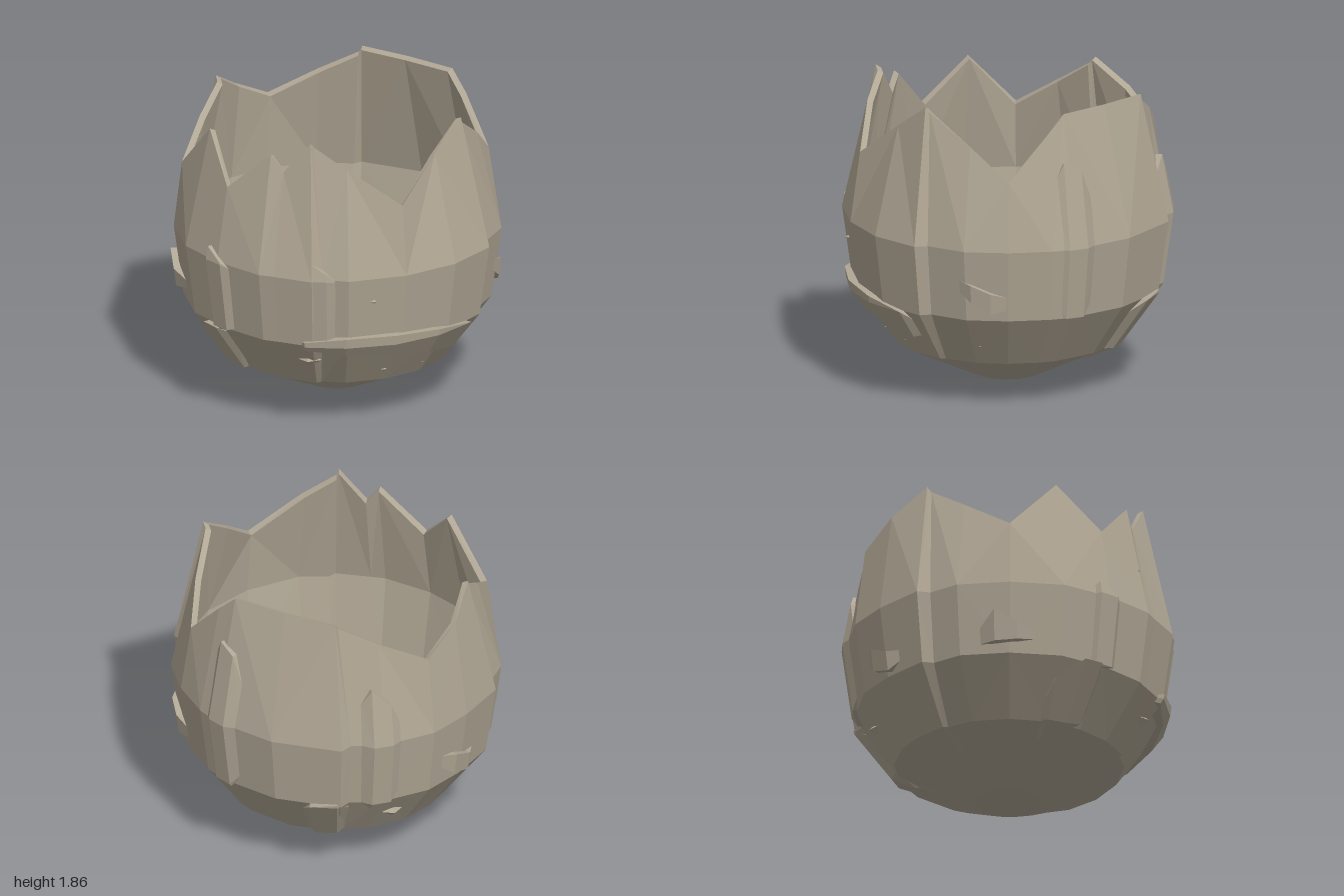
import * as THREE from 'three';

// Rim corners of the broken edge, counter-clockwise from the front: x, z, y
const RIM = [
  [0.14, 0.82, 1.86], [0.35, 0.76, 1.7], [0.66, 0.64, 1.47], [0.75, 0.33, 1.7],
  [0.83, 0.1, 1.86], [0.82, -0.2, 1.65], [0.8, -0.45, 1.46], [0.6, -0.6, 1.72],
  [0.49, -0.66, 1.84], [0.17, -0.76, 1.835], [-0.15, -0.83, 1.83], [-0.4, -0.75, 1.68],
  [-0.68, -0.63, 1.53], [-0.8, -0.4, 1.66], [-0.83, -0.15, 1.8], [-0.84, 0.1, 1.63],
  [-0.84, 0.4, 1.45], [-0.59, 0.59, 1.77], [-0.4, 0.8, 1.5], [-0.11, 0.83, 1.76], [-0.03, 0.83, 1.66],
];
const SEAMS = [0, 4, 10, 14]; // rim corners where one plate steps over the next
const PROFILE = [[0, 0], [0.035, 0.2], [0.27, 0.69], [0.6, 0.925], [1.04, 0.985], [1.86, 0.83]]; // y, radius
const rad = THREE.MathUtils.degToRad;

function radiusAt(y) {
  for (let i = 1; i < PROFILE.length; i++) {
    const [y0, r0] = PROFILE[i - 1], [y1, r1] = PROFILE[i];
    if (y <= y1) return r0 + (r1 - r0) * (y - y0) / (y1 - y0);
  }
  return 0.83;
}

const polar = (a, r, y) => new THREE.Vector3(Math.sin(a) * r, y, Math.cos(a) * r);

// Faceted skin through rows of points; rows go upward for an outward face
function skin(rows, closed) {
  const pos = [];
  const tri = (a, b, c) => {
    const area = b.clone().sub(a).cross(c.clone().sub(a)).length();
    if (area > 1e-7) for (const p of [a, b, c]) pos.push(p.x, p.y, p.z);
  };
  const n = rows[0].length;
  for (let i = 0; i < rows.length - 1; i++) {
    for (let j = 0; j < (closed ? n : n - 1); j++) {
      const k = (j + 1) % n;
      const a = rows[i][j], b = rows[i][k], c = rows[i + 1][k], d = rows[i + 1][j];
      if ((i + j) % 2) { tri(a, b, c); tri(a, c, d); }
      else { tri(a, b, d); tri(b, c, d); }
    }
  }
  const g = new THREE.BufferGeometry();
  g.setAttribute('position', new THREE.Float32BufferAttribute(pos, 3));
  g.computeVertexNormals();
  return g;
}

// Vertical columns of the shell, with a recessed column after each seam
function shellColumns() {
  const cols = [];
  RIM.forEach(([x, z, y], i) => {
    const a = Math.atan2(x, z), r = Math.hypot(x, z), seam = SEAMS.includes(i);
    cols.push({ a, r, y, bump: seam ? 0.022 : 0.008 * Math.sin(i * 2.7), lean: seam ? 0.04 : 0 });
    if (seam) cols.push({ a: a + 0.02, r: r - 0.02, y: y - 0.03, bump: -0.035, lean: 0.08 });
  });
  return cols;
}

function shellGeometry() {
  const cols = shellColumns();
  const ring = (y, r, amount) => cols.map(c => polar(c.a + c.lean * amount, r + c.bump * amount, y));
  return skin([
    // outside, upward
    ring(0, 0, 0), ring(0.035, 0.2, 0), ring(0.27, 0.69, 0.4), ring(0.6, 0.925, 0.9), ring(1.04, 0.985, 1),
    // broken edge
    cols.map(c => polar(c.a, c.r, c.y)),
    cols.map(c => polar(c.a, c.r - 0.035, c.y - 0.015)),
    // inside, downward
    ring(1.04, 0.93, 0.6), ring(0.6, 0.86, 0.6), ring(0.3, 0.63, 0.4), ring(0.1, 0.16, 0), ring(0.07, 0, 0),
  ], true);
}

// Raised plate on the shell: columns of [degrees, lowest y, highest y]
function plateGeometry(cols, lift) {
  const last = cols.length - 1;
  const row = (pick, up) => cols.map(([deg, lo, hi], i) => {
    const y = THREE.MathUtils.clamp(pick, lo, hi);
    const off = !up || i === 0 || i === last ? -0.03 : lift;
    return polar(rad(deg), radiusAt(y) + off, y);
  });
  return skin([row(-1, false), row(-1, true), row(0.27, true), row(0.6, true),
    row(1.04, true), row(9, true), row(9, false)], false);
}

export function createModel() {
  const model = new THREE.Group();
  model.name = 'brokenShell';
  const stone = new THREE.MeshStandardMaterial({ color: 0xb0a694, side: THREE.DoubleSide });
  stone.name = 'weathered shell';
  stone.flatShading = true;
  const add = (name, geometry) => {
    const mesh = new THREE.Mesh(geometry, stone);
    mesh.name = name;
    model.add(mesh);
    return mesh;
  };

  add('shell', shellGeometry());

  // Overlapping plates and cracked flakes
  const plates = {
    lowerLedge: [0.04, [[6, 0.58, 0.61], [9, 0.57, 0.63], [24, 0.54, 0.66], [42, 0.5, 0.66], [60, 0.46, 0.64], [77, 0.42, 0.6], [82, 0.44, 0.5]]],
    lowerWedge: [0.03, [[-51, 0.22, 0.3], [-46, 0.2, 0.48], [-36, 0.24, 0.6], [-29, 0.28, 0.6], [-25, 0.4, 0.55]]],
    frontRib: [0.015, [[8, 0.6, 1.1], [11, 0.58, 1.15], [17, 0.6, 1.08], [21, 0.62, 1.02]]],
    frontCrack: [0.015, [[-33, 0.6, 1.08], [-31, 0.58, 1.12], [-24, 0.6, 1.05], [-20, 0.62, 1]]],
    sideFlake: [0.03, [[97, 0.83, 0.87], [106, 0.72, 0.83], [113, 0.65, 0.78], [125, 0.69, 0.72]]],
    rightFlake: [0.035, [[-78, 0.66, 0.72], [-70, 0.66, 0.86], [-62, 0.67, 0.78], [-52, 0.7, 0.73]]],
    backRib: [0.015, [[136, 0.7, 1.4], [141, 0.6, 1.55], [148, 0.58, 1.5], [153, 0.7, 1.3]]],
    backLowerWedge: [0.03, [[176, 0.25, 0.5], [181, 0.18, 0.6], [191, 0.2, 0.62], [196, 0.3, 0.55]]],
    backCrack: [0.015, [[200, 0.6, 1.3], [204, 0.55, 1.4], [211, 0.6, 1.3], [216, 0.7, 1.1]]],
    backFlake: [0.03, [[228, 0.78, 0.82], [238, 0.66, 0.8], [246, 0.62, 0.74], [254, 0.7, 0.73]]],
  };
  for (const [name, [lift, cols]] of Object.entries(plates)) add(name, plateGeometry(cols, lift));

  // Small chips: degrees, y, size
  for (const [deg, y, size] of [[9, 0.47, 0.07], [-8, 1.33, 0.02], [43, 0.36, 0.02],
    [64, 0.35, 0.02], [107, 0.4, 0.02], [34, 0.89, 0.02], [215, 0.45, 0.06]]) {
    const chip = add('chip', new THREE.OctahedronGeometry(size));
    chip.scale.set(1.1, 0.65, 0.7);
    chip.position.copy(polar(rad(deg), radiusAt(y) - 0.01, y));
    chip.rotation.y = rad(deg);
  }
  return model;
}
